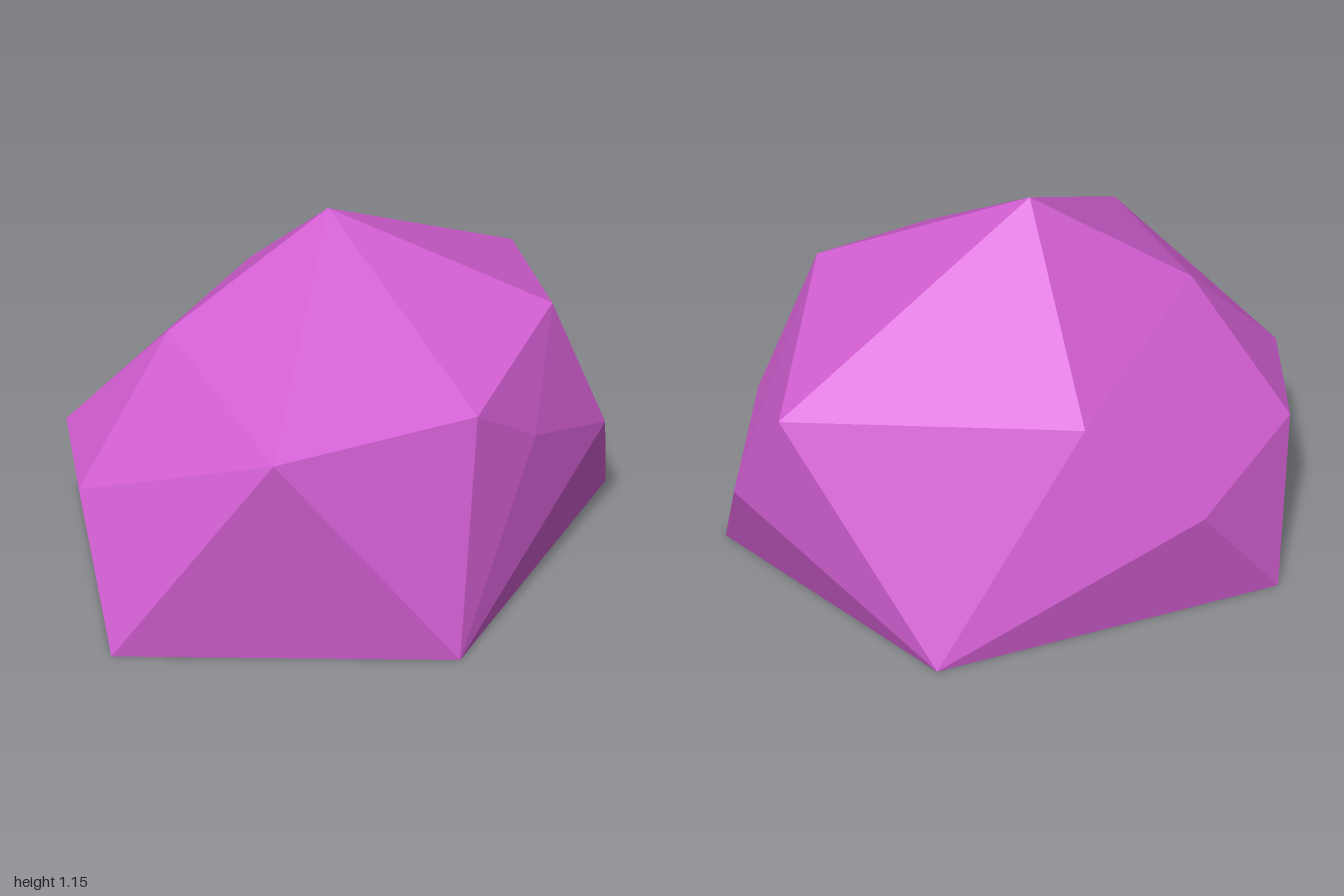
import * as THREE from 'three';
import { ConvexGeometry } from 'three/addons/geometries/ConvexGeometry.js';

// Corner points of the faceted stone, from the ground up
const base = [[0.02, 0, 1], [0.83, 0, 0.32], [0.52, 0, -0.88], [-0.48, 0, -0.78], [-0.83, 0, 0.32]];
const middle = [
  [-0.81, 0.39, 0], [-0.6, 0.43, 0.57], [-0.235, 0.43, 0.865],
  [0.745, 0.555, -0.14], [0.68, 0.39, -0.615], [0.25, 0.37, -1],
];
const upper = [
  [0.02, 0.73, -0.967], [0.59, 0.86, -0.415], [0.735, 0.73, 0.145],
  [0.47, 0.72, 0.755], [-0.235, 0.82, 0.46], [-0.58, 0.715, -0.285],
];
const peak = [[0.02, 1.155, 0]];

export function createModel() {
  const model = new THREE.Group();
  model.name = 'rock';

  const orchid = new THREE.MeshStandardMaterial({ color: 0xd45fd4, flatShading: true });
  orchid.name = 'orchid';

  // One faceted boulder with a flat underside
  const points = [...base, ...middle, ...upper, ...peak].map((p) => new THREE.Vector3(...p));
  const boulder = new THREE.Mesh(new ConvexGeometry(points), orchid);
  boulder.name = 'boulder';
  model.add(boulder);

  return model;
}
